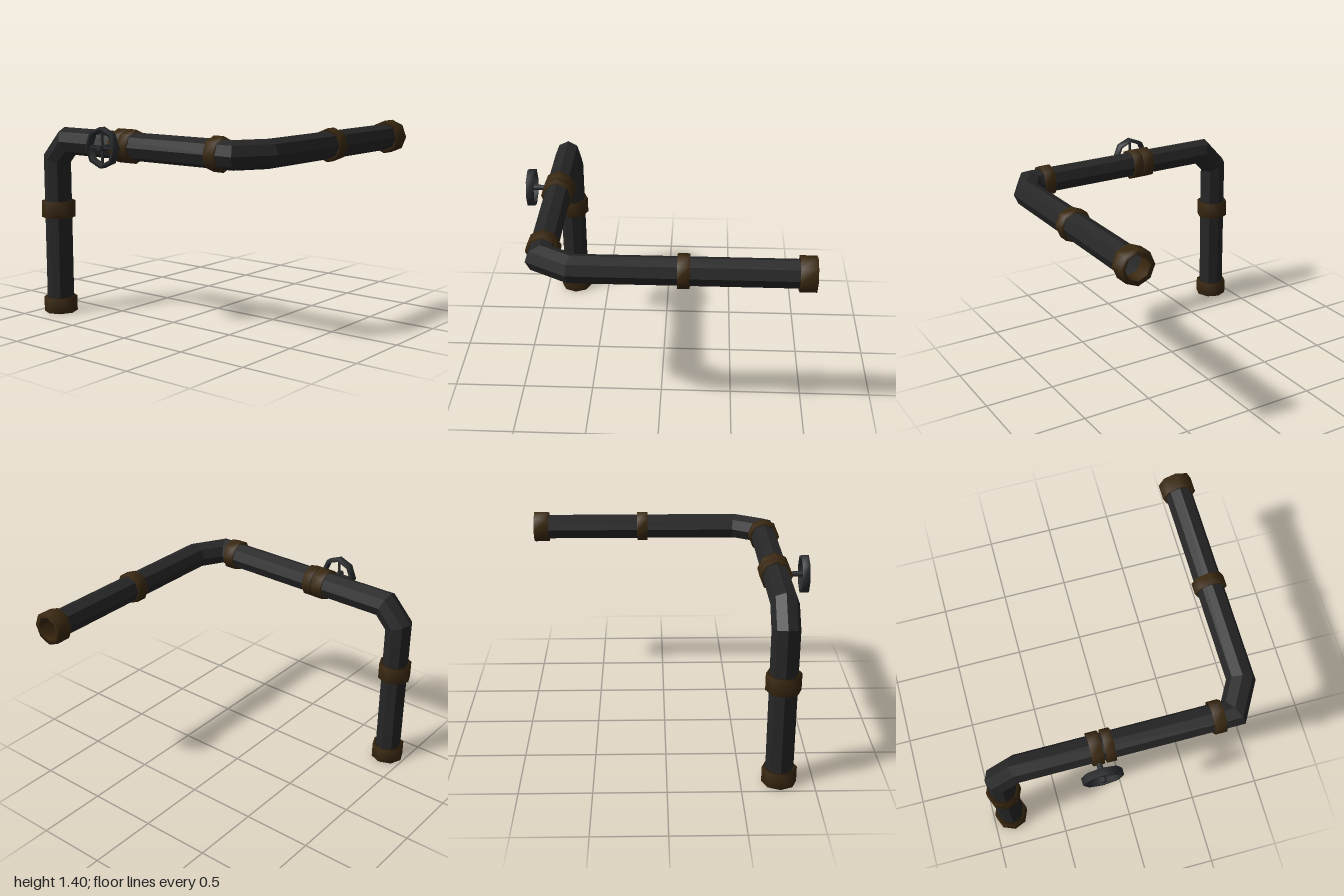
import * as THREE from 'three';

const SIDES = 8;
const PIPE_R = 0.096;

// Octagonal tube swept along straight runs with mitred corners
function sweptPipe(path, radius) {
  let ring = [];
  for (let i = 0; i < SIDES; i++) {
    const a = (i / SIDES) * Math.PI * 2;
    ring.push(new THREE.Vector3(Math.sin(a) * radius, 0, Math.cos(a) * radius).add(path[0]));
  }
  const pos = [];
  for (let k = 1; k < path.length; k++) {
    const dir = path[k].clone().sub(path[k - 1]).normalize();
    const normal = dir.clone();
    if (k < path.length - 1) normal.add(path[k + 1].clone().sub(path[k]).normalize());
    // Slide each corner along the run until it meets the mitre plane
    const next = ring.map((p) => {
      const t = path[k].clone().sub(p).dot(normal) / dir.dot(normal);
      return p.clone().addScaledVector(dir, t);
    });
    for (let i = 0; i < SIDES; i++) {
      const j = (i + 1) % SIDES;
      for (const v of [ring[i], ring[j], next[j], ring[i], next[j], next[i]]) pos.push(v.x, v.y, v.z);
    }
    ring = next;
  }
  const geo = new THREE.BufferGeometry();
  geo.setAttribute('position', new THREE.Float32BufferAttribute(pos, 3));
  geo.computeVertexNormals();
  return geo;
}

// Eight-sided ring with a rectangular section, around the y axis
function ringGeometry(outer, inner, length) {
  const h = length / 2;
  const profile = [[inner, -h], [outer, -h], [outer, h], [inner, h], [inner, -h]];
  return new THREE.LatheGeometry(profile.map(([x, y]) => new THREE.Vector2(x, y)), SIDES);
}

export function createModel() {
  const model = new THREE.Group();
  model.name = 'pipework';

  const iron = new THREE.MeshStandardMaterial({ color: 0x262626, side: THREE.DoubleSide });
  iron.name = 'dark iron';
  const brass = new THREE.MeshStandardMaterial({ color: 0x3a2810 });
  brass.name = 'aged brass';
  const steel = new THREE.MeshStandardMaterial({ color: 0x2a2c2e });
  steel.name = 'wheel steel';

  const add = (parent, name, geo, mat, x = 0, y = 0, z = 0) => {
    const mesh = new THREE.Mesh(geo, mat);
    mesh.name = name;
    mesh.position.set(x, y, z);
    parent.add(mesh);
    return mesh;
  };

  // Pipe: up, across, then back
  const path = [
    [-0.865, 0.01, 0.765], [-0.865, 1.125, 0.765], [-0.742, 1.258, 0.765],
    [0.74, 1.258, 0.765], [0.858, 0.56, 0.765], [0.858, 1.258, -0.99],
  ].map((p) => new THREE.Vector3(...p));
  path[4].set(0.858, 1.258, 0.56);
  add(model, 'pipe', sweptPipe(path, PIPE_R), iron);

  // Collars: name, axis, centre, length, radius
  const collars = [
    ['bottomFlange', 'y', [-0.865, 0.055, 0.765], 0.11, 0.12],
    ['uprightCollar', 'y', [-0.865, 0.76, 0.765], 0.12, 0.12],
    ['valveCollar', 'x', [-0.21, 1.258, 0.765], 0.08, 0.116],
    ['valveCollarTwin', 'x', [-0.122, 1.258, 0.765], 0.066, 0.116],
    ['elbowCollar', 'x', [0.622, 1.258, 0.765], 0.08, 0.116],
    ['backCollar', 'z', [0.858, 1.258, -0.16], 0.08, 0.116],
    ['endFlange', 'z', [0.858, 1.258, -0.945], 0.11, 0.12],
  ];
  for (const [name, axis, centre, length, radius] of collars) {
    const mesh = add(model, name, ringGeometry(radius, 0.088, length), brass, ...centre);
    if (axis === 'x') mesh.rotation.z = Math.PI / 2;
    if (axis === 'z') mesh.rotation.x = Math.PI / 2;
  }

  // Valve: stem, hub, octagonal rim and crossed spokes, facing +z
  const valve = new THREE.Group();
  valve.name = 'valve';
  valve.position.set(-0.21, 1.26, 0);
  model.add(valve);

  const stem = add(valve, 'stem', new THREE.CylinderGeometry(0.02, 0.02, 0.16, SIDES), steel, 0, 0, 0.92);
  stem.rotation.x = Math.PI / 2;
  const rim = add(valve, 'rim', ringGeometry(0.138, 0.112, 0.05), steel, 0, 0, 0.962);
  rim.rotation.x = Math.PI / 2;
  add(valve, 'spokeAcross', new THREE.BoxGeometry(0.235, 0.014, 0.014), steel, 0, 0, 0.962);
  add(valve, 'spokeUpright', new THREE.BoxGeometry(0.014, 0.235, 0.014), steel, 0, 0, 0.962);

  return model;
}
